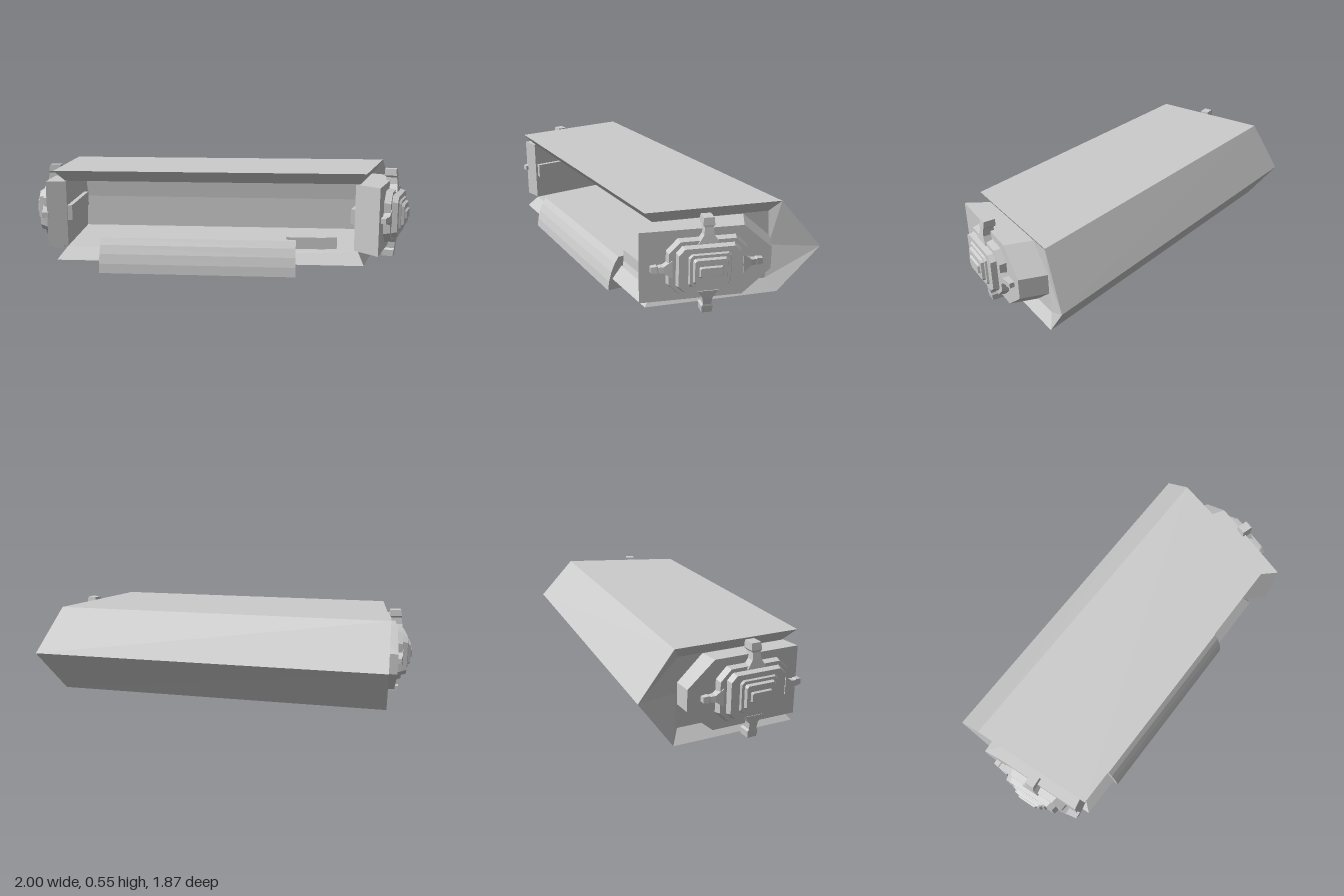
import * as THREE from 'three';

const mat = new THREE.MeshStandardMaterial({ color: 0xcccccc, flatShading: true, side: THREE.DoubleSide });

// Collects flat polygons (arrays of [x, y, z]) into one mesh
function polyMesh(name, polys) {
  const pos = [];
  for (const p of polys)
    for (let i = 1; i < p.length - 1; i++) pos.push(...p[0], ...p[i], ...p[i + 1]);
  const g = new THREE.BufferGeometry();
  g.setAttribute('position', new THREE.Float32BufferAttribute(pos, 3));
  g.computeVertexNormals();
  const m = new THREE.Mesh(g, mat);
  m.name = name;
  return m;
}

// Quads joining two rings; rings run anticlockwise seen from the end of the second
function bridge(a, b, closed = true) {
  const out = [];
  const n = a.length;
  for (let i = 0; i < (closed ? n : n - 1); i++) {
    const j = (i + 1) % n;
    out.push([a[i], a[j], b[j], b[i]]);
  }
  return out;
}

// Closed solid through a series of rings
function loft(name, rings) {
  const polys = [[...rings[0]].reverse(), rings[rings.length - 1]];
  for (let i = 0; i < rings.length - 1; i++) polys.push(...bridge(rings[i], rings[i + 1]));
  return polyMesh(name, polys);
}

// Hull axes in plan: u runs along the length, n points to the open side
const U = [0.722, 0.692], N = [-0.692, 0.722], ORIGIN = [-0.41, -0.94];
const at = (t, w, y) => [
  ORIGIN[0] + U[0] * t + N[0] * w, y,
  ORIGIN[1] + U[1] * t + N[1] * w,
];

// Plan outline of an end: ridge, hull edge, open edge
const W = [0, 0.18, 0.843];
const BACK = [[-0.41, -0.94], [-0.53, -0.81], [-0.95, -0.29]];
const FRONT = [[1.0, 0.41], [0.81, 0.48], [0.23, 0.84]];

function endPoint(line, w, y, inset) {
  const k = w > W[1] ? 1 : 0;
  const f = (w - W[k]) / (W[k + 1] - W[k]);
  return [
    line[k][0] + (line[k + 1][0] - line[k][0]) * f + U[0] * inset, y,
    line[k][1] + (line[k + 1][1] - line[k][1]) * f + U[1] * inset,
  ];
}

// Hollow hull: ridged outer skin, open side, flat inner wall and bevelled rims
function makeHull() {
  const outer = [[0.843, 0.545], [0.18, 0.545], [0, 0.305], [0.18, 0.062], [0.843, 0.062]];
  const inner = [[0.79, 0.485], [0.22, 0.485], [0.21, 0.305], [0.22, 0.125], [0.79, 0.125]];
  const ring = (line, prof, inset) => prof.map(([w, y]) => endPoint(line, w, y, inset));
  const ob = ring(BACK, outer, 0), of = ring(FRONT, outer, 0);
  const ib = ring(BACK, inner, 0.05), inf = ring(FRONT, inner, -0.04);
  const polys = [
    ...bridge(ob, of, false), ...bridge(of, inf, false),
    ...bridge(inf, ib, false), ...bridge(ib, ob, false),
    [...inf], [...ib].reverse(),
  ];
  // sloped lips along the open side
  polys.push([ob[0], ib[0], inf[0], of[0]], [ob[4], of[4], inf[4], ib[4]]);
  return polyMesh('hull', polys);
}

// Rectangle with cut corners at depth d
function plate(hw, hh, c, d) {
  return [
    [-hw + c, -hh, d], [hw - c, -hh, d], [hw, -hh + c, d], [hw, hh - c, d],
    [hw - c, hh, d], [-hw + c, hh, d], [-hw, hh - c, d], [-hw, -hh + c, d],
  ];
}

// Stepped hatch with four struts, facing +z
function makeHatch() {
  const g = new THREE.Group();
  g.name = 'hatch';
  const layers = [
    [0.195, 0.14, 0.055, -0.01, 0.035],
    [0.155, 0.115, 0.03, 0.03, 0.065],
    [0.105, 0.085, 0.015, 0.06, 0.075],
    [0.085, 0.065, 0.01, 0.07, 0.09],
    [0.06, 0.03, 0.005, 0.085, 0.1],
  ];
  for (const [hw, hh, c, d0, d1] of layers)
    g.add(loft('hatchPlate', [plate(hw, hh, c, d0), plate(hw - 0.008, hh - 0.008, c, d1)]));

  // each section: [distance from centre, half width, inner depth, outer depth]
  const strut = (angle, sections) => {
    const m = loft('strut', sections.map(([r, h, d0, d1]) => [
      [-h, r, d0], [-h, r, d1], [h, r, d1], [h, r, d0],
    ]));
    m.rotation.z = angle;
    g.add(m);
  };
  for (const a of [0, Math.PI])
    strut(a, [[0.12, 0.05, -0.02, 0.045], [0.16, 0.024, -0.02, 0.04], [0.195, 0.02, -0.02, 0.035],
      [0.205, 0.028, -0.03, 0.035], [0.24, 0.025, -0.03, 0.03]]);
  for (const a of [Math.PI / 2, -Math.PI / 2])
    strut(a, [[0.17, 0.045, -0.01, 0.04], [0.21, 0.016, -0.01, 0.035], [0.235, 0.013, -0.01, 0.03],
      [0.24, 0.018, -0.01, 0.03], [0.27, 0.014, -0.01, 0.025]]);
  return g;
}

// End assembly: a bulkhead with two cut corners plus the hatch.
// Spans are [open side, start of cut, ridge side] along local x.
function makeEnd(name, x, z, mx, mz, innerSpan, outerSpan, depth) {
  const g = new THREE.Group();
  g.name = name;
  const ring = ([a, b, c], d) => {
    const r = [[a, 0.13], [b, 0.13], [c, 0.25], [c, 0.36], [b, 0.483], [a, 0.483]]
      .map(([s, y]) => [s, y, d]);
    return c < a ? r.reverse() : r;
  };
  g.add(loft('bulkhead', [ring(innerSpan, -depth), ring(outerSpan, 0)]));
  // rib across the inner face
  const rib = new THREE.Mesh(new THREE.BoxGeometry(0.46, 0.08, 0.03), mat);
  rib.name = 'innerRib';
  rib.position.set(0, 0.31, -depth - 0.01);
  g.add(rib);
  const hatch = makeHatch();
  hatch.position.y = 0.305;
  g.add(hatch);
  g.position.set(x, 0, z);
  g.rotation.y = Math.atan2(mx, mz);
  return g;
}

export function createModel() {
  const model = new THREE.Group();
  model.name = 'model';
  model.add(makeHull());
  model.add(makeEnd('frontEnd', 0.51, 0.775, 0.484, 0.875, [-0.24, 0.22, 0.36], [-0.32, 0.18, 0.32], 0.14));
  model.add(makeEnd('backEnd', -0.809, -0.545, -0.78, -0.63, [0.243, -0.21, -0.34], [0.257, -0.2, -0.34], 0.105));

  // Curved skirt along the lower open side
  const skirt = [[0.79, 0], [0.868, 0], [0.862, 0.05], [0.848, 0.1], [0.828, 0.145], [0.805, 0.18], [0.775, 0.18]];
  model.add(loft('sideSkirt', [0.294, 1.34].map(t => skirt.map(([w, y]) => at(t, w, y)).reverse())));

  // Low blocks on the sill beside the skirt
  for (const [t0, t1, w] of [[1.29, 1.5, 0.75], [1.5, 1.56, 0.74]]) {
    const sec = [[w - 0.06, 0.12], [w - 0.06, 0.188], [w, 0.188], [w, 0.12]];
    model.add(loft('sillBlock', [t0, t1].map(t => sec.map(([a, y]) => at(t, a, y)))));
  }
  return model;
}
